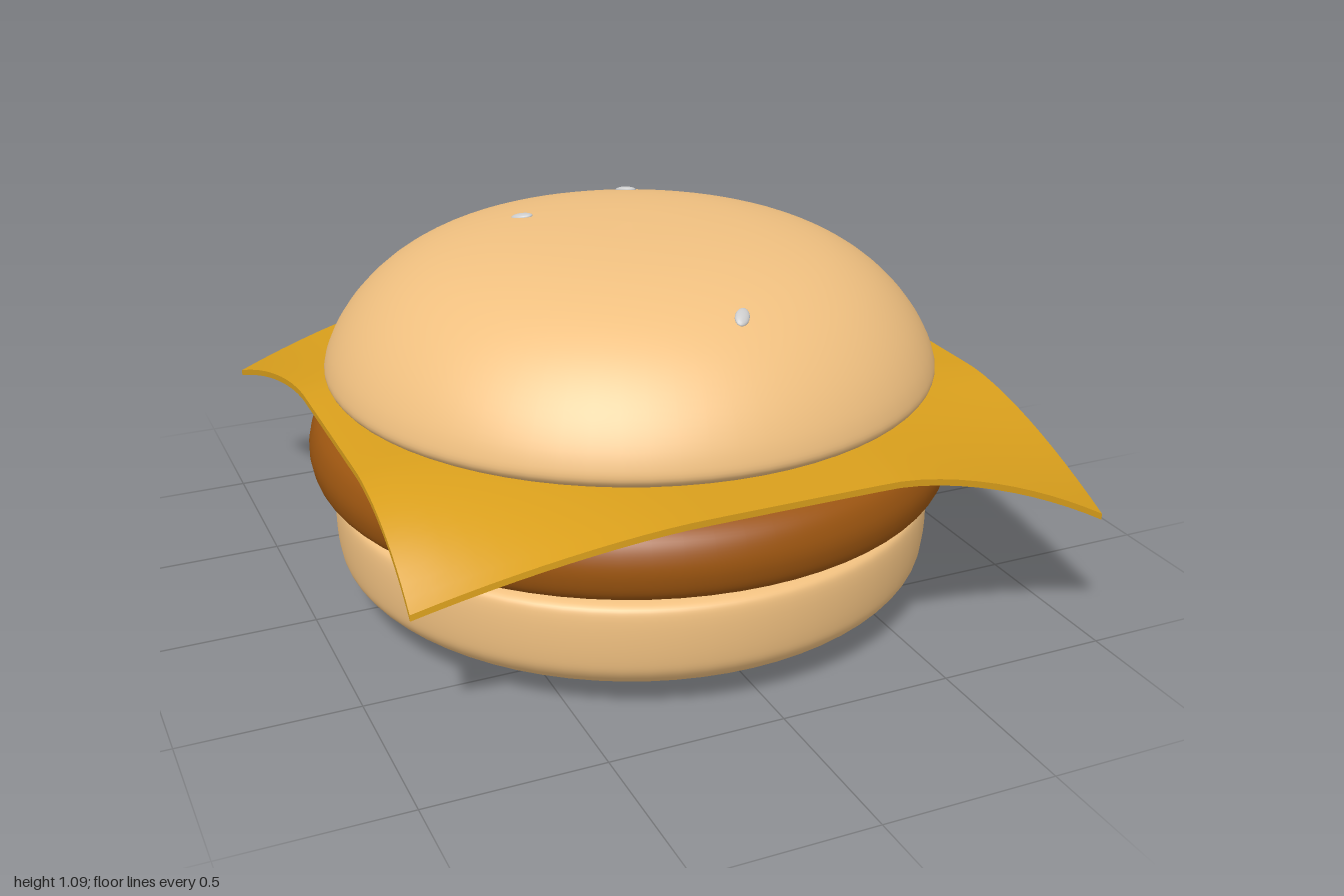
import * as THREE from 'three';

const material = (color) => new THREE.MeshStandardMaterial({ color });

// Smooth round body from a [radius, height] profile running bottom to top
function roundBody(name, profile, mat, x, z) {
  const curve = new THREE.CatmullRomCurve3(
    profile.map(([r, y]) => new THREE.Vector3(r, y, 0)), false, 'centripetal');
  const points = curve.getPoints(56).map((p) => new THREE.Vector2(Math.max(0, p.x), p.y));
  const mesh = new THREE.Mesh(new THREE.LatheGeometry(points, 72), mat);
  mesh.name = name;
  mesh.position.set(x, 0, z);
  return mesh;
}

// Square slice whose corners hang down over the patty
function cheeseSlice() {
  const geo = new THREE.BoxGeometry(2, 0.018, 2, 32, 1, 32);
  const pos = geo.attributes.position;
  const bend = (t, start) => Math.pow(Math.max(0, (Math.abs(t) - start) / (1 - start)), 1.6);
  for (let i = 0; i < pos.count; i++) {
    const u = pos.getX(i), v = pos.getZ(i);
    const corner = bend(u, 0.3) * bend(v, u > 0 && v < 0 ? 0 : 0.3);
    let x = 0.018 + u * 0.953;
    let z = 0.045 + v * 0.955;
    const y = 0.622 + pos.getY(i) - 0.028 * Math.pow(Math.abs(u), 3) - 0.195 * corner;
    if (u < 0 && v > 0) z -= 0.22 * corner; // front right corner tucks in
    if (u < 0 && v < 0) { // back right corner flares out
      x -= 0.035 * corner;
      z -= 0.09 * corner;
    }
    pos.setXYZ(i, x, y, z);
  }
  geo.computeVertexNormals();
  const mesh = new THREE.Mesh(geo, material(0xd99f1c));
  mesh.name = 'cheeseSlice';
  return mesh;
}

export function createModel() {
  const group = new THREE.Group();
  group.name = 'burger';
  const bun = material(0xf0c080);

  group.add(roundBody('bottomBun', [
    [0, 0], [0.3, 0.003], [0.52, 0.016], [0.7, 0.045], [0.81, 0.085], [0.862, 0.135],
    [0.876, 0.19], [0.876, 0.31], [0.865, 0.334], [0.82, 0.347], [0.7, 0.355], [0, 0.358],
  ], bun, -0.03, 0.055));

  group.add(roundBody('patty', [
    [0, 0.352], [0.78, 0.354], [0.87, 0.364], [0.92, 0.395], [0.94, 0.45],
    [0.938, 0.5], [0.915, 0.55], [0.86, 0.585], [0.75, 0.603], [0, 0.61],
  ], material(0x9c5510), -0.03, 0.05));

  group.add(cheeseSlice());

  group.add(roundBody('topBun', [
    [0, 0.628], [0.5, 0.63], [0.75, 0.64], [0.85, 0.656], [0.886, 0.685], [0.88, 0.73],
    [0.84, 0.81], [0.775, 0.89], [0.69, 0.96], [0.58, 1.017], [0.42, 1.06], [0.22, 1.083], [0, 1.09],
  ], bun, -0.02, 0.025));

  // Seeds: position, turn about the surface normal, and surface normal
  const seedGeo = new THREE.SphereGeometry(1, 16, 10).scale(0.034, 0.01, 0.02);
  const seeds = [
    [0.155, 1.05, -0.41, -0.8, [0.12, 1, -0.28]],
    [-0.265, 1.072, -0.2, -0.7, [-0.13, 1, -0.12]],
    [0.03, 1.0, 0.645, 1.0, [0.04, 1, 0.55]],
  ];
  seeds.forEach(([x, y, z, turn, n], i) => {
    const seed = new THREE.Mesh(seedGeo, material(0xcccccc));
    seed.name = 'seed' + (i + 1);
    seed.position.set(x, y, z);
    seed.quaternion.setFromUnitVectors(new THREE.Vector3(0, 1, 0), new THREE.Vector3(...n).normalize());
    seed.rotateY(turn);
    group.add(seed);
  });

  return group;
}
